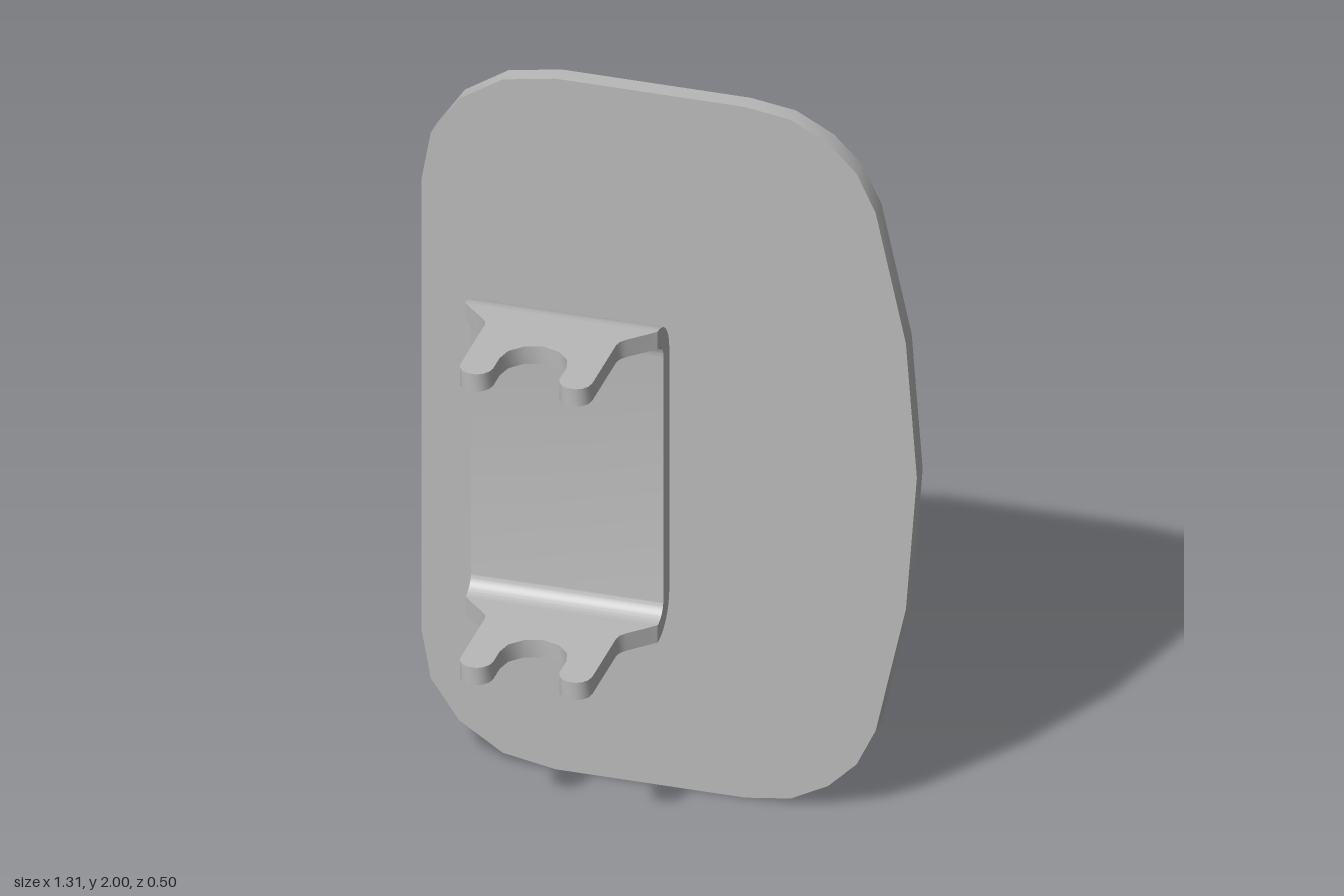
import * as THREE from 'three';
import { toCreasedNormals } from 'three/addons/utils/BufferGeometryUtils.js';

const BACK = -0.2475, T = 0.05;          // rear face and sheet thickness
const JOIN = BACK + T;                   // plate front, where the bracket sits
const CX = -0.254, CY = 0.92;            // bracket centre
const HALF_W = 0.254, HALF_H = 0.45, BEND = 0.1;

const grey = new THREE.MeshStandardMaterial({ color: 0xb8b8b8 });
grey.name = 'grey metal';
const greyInside = grey.clone();
greyInside.name = 'grey metal';
greyInside.side = THREE.DoubleSide;

function extrude(shape, depth, curveSegments = 8) {
  const geo = new THREE.ExtrudeGeometry(shape, { depth, bevelEnabled: false, curveSegments });
  return toCreasedNormals(geo, 0.6);
}

function add(parent, name, geo, material = grey) {
  const mesh = new THREE.Mesh(geo, material);
  mesh.name = name;
  parent.add(mesh);
  return mesh;
}

// Plate outline: upper half, then its mirror about y = 1
function plateShape(holes, radius) {
  const upper = [
    [-0.655, 1.65], [-0.63, 1.79], [-0.555, 1.9], [-0.44, 1.975], [-0.3, 2],
    [0.2, 2], [0.32, 1.983], [0.42, 1.93], [0.495, 1.855], [0.545, 1.75],
    [0.625, 1.385], [0.654, 1],
  ];
  const lower = upper.slice(0, -1).reverse().map(([x, y]) => [x, 2 - y]);
  const shape = new THREE.Shape([...upper, ...lower].map(([x, y]) => new THREE.Vector2(x, y)));
  for (const [x, y] of holes) {
    shape.holes.push(new THREE.Path().absarc(x, y, radius, 0, Math.PI * 2, true));
  }
  return shape;
}

// U-shaped section of the bracket, drawn in (z, y)
function channelShape() {
  const z = JOIN + BEND, lo = CY - HALF_H, hi = CY + HALF_H, r = BEND - T;
  const s = new THREE.Shape();
  s.moveTo(z, lo);
  s.absarc(z, lo + BEND, BEND, -Math.PI / 2, -Math.PI, true);
  s.absarc(z, hi - BEND, BEND, Math.PI, Math.PI / 2, true);
  s.lineTo(z, hi - T);
  s.absarc(z, hi - BEND, r, Math.PI / 2, Math.PI, false);
  s.absarc(z, lo + BEND, r, Math.PI, Math.PI * 1.5, false);
  s.closePath();
  return s;
}

// Forked arm, drawn in (x, z): half outline mirrored about its centre
function armShape() {
  const half = [
    [HALF_W, JOIN + BEND], [0.246, -0.09], [0.237, -0.08],
    [0.189, -0.033], [0.178, -0.018], [0.174, 0],
    [0.174, 0.205], [0.17, 0.225], [0.158, 0.24], [0.143, 0.2475],
    [0.12, 0.2475], [0.105, 0.24], [0.093, 0.225], [0.088, 0.205],
    [0.088, 0.15], [0.078, 0.108], [0.047, 0.075], [0, 0.061],
  ];
  const other = half.slice(0, -1).reverse().map(([x, z]) => [-x, z]);
  return new THREE.Shape([...half, ...other].map(([x, z]) => new THREE.Vector2(CX + x, z)));
}

export function createModel() {
  const model = new THREE.Group();
  model.name = 'plateWithBracket';

  // Backing plate with four countersunk screw holes behind the bracket
  const holes = [];
  for (const dx of [-0.175, 0.175]) {
    for (const dy of [-0.175, 0.175]) holes.push([CX + dx, CY + dy]);
  }
  add(model, 'backPlate', extrude(plateShape(holes, 0.046), T)).position.z = BACK;

  const sinkProfile = [[0.046, 0], [0.027, 0.022], [0.027, T]].map(([r, y]) => new THREE.Vector2(r, y));
  const sinkGeo = toCreasedNormals(new THREE.LatheGeometry(sinkProfile, 20).rotateX(Math.PI / 2), 0.6);
  for (const [x, y] of holes) {
    add(model, 'screwHole', sinkGeo, greyInside).position.set(x, y, BACK);
  }

  // Bent bracket with two forked arms
  const bracket = new THREE.Group();
  bracket.name = 'bracket';
  model.add(bracket);
  const channel = add(bracket, 'bracketChannel', extrude(channelShape(), HALF_W * 2).rotateY(-Math.PI / 2));
  channel.position.x = CX + HALF_W;
  const armGeo = extrude(armShape(), T).rotateX(Math.PI / 2);
  add(bracket, 'upperArm', armGeo).position.y = CY + HALF_H;
  add(bracket, 'lowerArm', armGeo).position.y = CY - HALF_H + T;

  return model;
}
